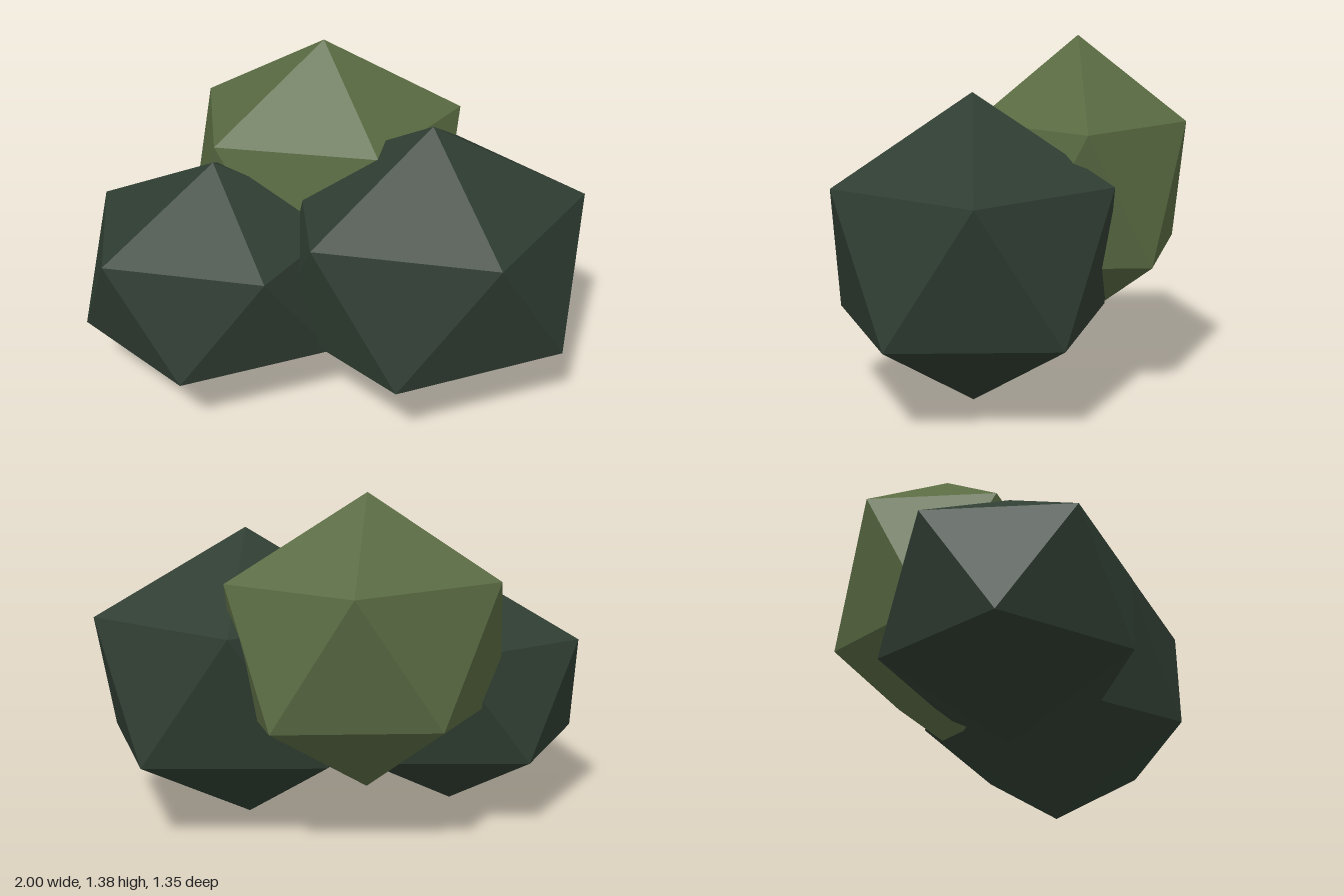
import * as THREE from 'three';

const GOLDEN = (1 + Math.sqrt(5)) / 2;

// Icosahedron standing on one corner, with an upper-ring corner toward +x
function lobe(name, material, [x, y, z], [rx, ry, rz]) {
  const geometry = new THREE.IcosahedronGeometry(1, 0);
  geometry.rotateZ(-Math.atan(1 / GOLDEN));
  geometry.scale(rx, ry, rz);
  geometry.computeVertexNormals();
  const mesh = new THREE.Mesh(geometry, material);
  mesh.name = name;
  mesh.position.set(x, y, z);
  return mesh;
}

export function createModel() {
  const darkGreen = new THREE.MeshStandardMaterial({ color: 0x2f3d32, flatShading: true });
  darkGreen.name = 'dark green';
  const olive = new THREE.MeshStandardMaterial({ color: 0x596a42, flatShading: true });
  olive.name = 'olive green';

  const bush = new THREE.Group();
  bush.name = 'bush';
  bush.add(
    // Two dark clumps in front, one lighter clump behind and above
    lobe('largeClump', darkGreen, [0.385, 0.602, 0.155], [0.688, 0.598, 0.612]),
    lobe('smallClump', darkGreen, [-0.455, 0.52, 0.04], [0.609, 0.501, 0.541]),
    lobe('upperClump', olive, [0.005, 0.798, -0.266], [0.626, 0.584, 0.485]),
  );
  return bush;
}
